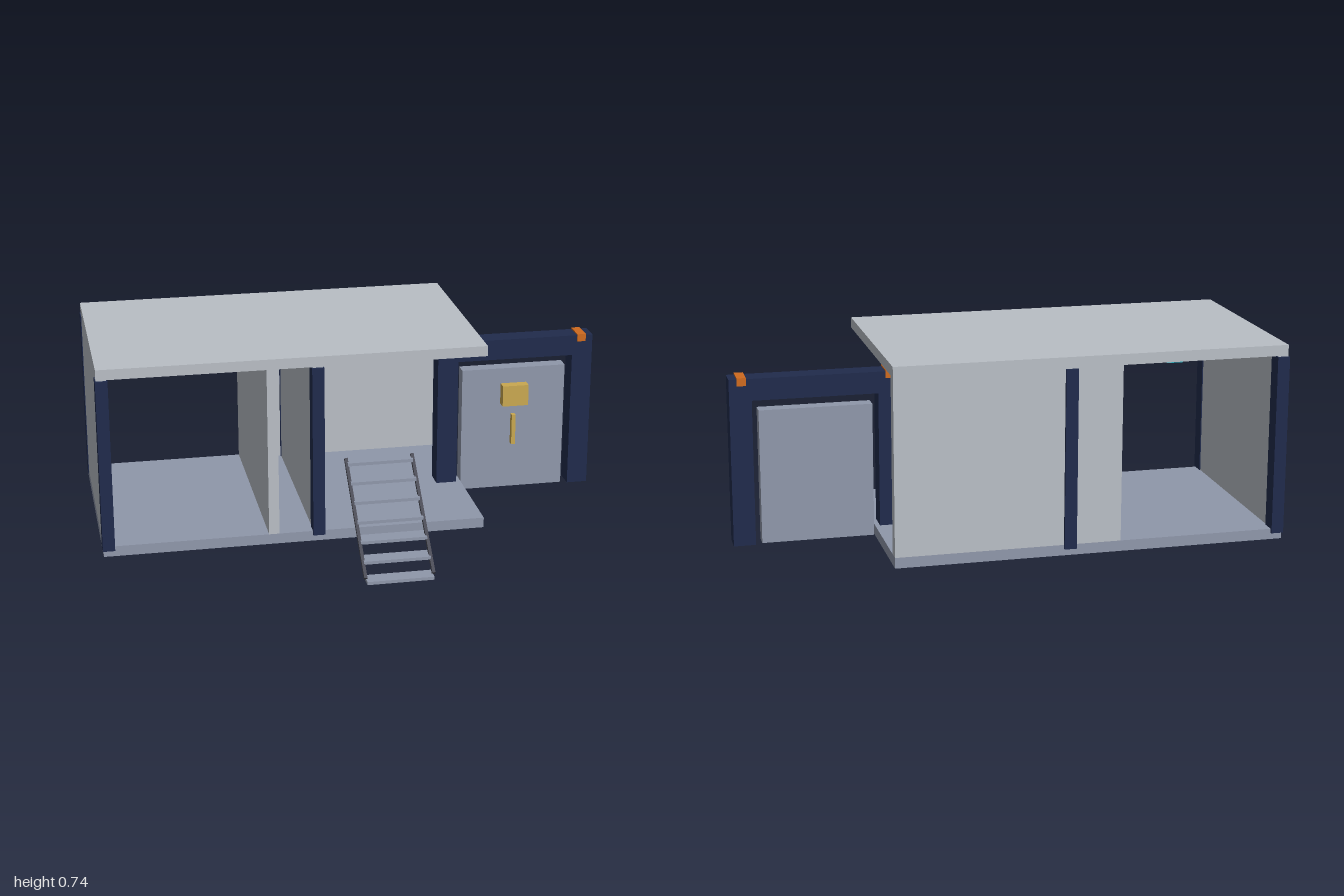
import * as THREE from 'three';

const material = (name, color) => {
  const m = new THREE.MeshStandardMaterial({ color });
  m.name = name;
  return m;
};

export function createModel() {
  const wall = material('pale grey', 0xb9bec5);
  const panel = material('blue grey', 0x8f97aa);
  const navy = material('navy', 0x202b4c);
  const steel = material('dark steel', 0x4a4b55);
  const orange = material('orange', 0xcf6a1f);
  const brass = material('brass yellow', 0xc9a850);
  const cyan = material('cyan', 0x2fb3c4);

  const model = new THREE.Group();
  model.name = 'cabin';

  // Box given by its extents on each axis
  const box = (name, mat, [x0, x1], [y0, y1], [z0, z1], parent = model) => {
    const mesh = new THREE.Mesh(new THREE.BoxGeometry(x1 - x0, y1 - y0, z1 - z0), mat);
    mesh.position.set((x0 + x1) / 2, (y0 + y1) / 2, (z0 + z1) / 2);
    mesh.name = name;
    parent.add(mesh);
    return mesh;
  };

  // Shell: floor, roof, end wall, rear wall and two partitions
  const depth = [-0.63, 0.21];
  const room = [0.04, 0.7];
  box('floor', panel, [-0.997, 0.47], [0, 0.04], depth);
  box('roof', wall, [-0.997, 0.47], [0.7, 0.74], depth);
  box('endWall', wall, [-0.997, -0.958], room, depth);
  box('rearWall', wall, [-0.37, 0.47], room, [-0.63, -0.587]);
  box('partition', wall, [-0.37, -0.33], room, [-0.587, 0.21]);
  box('partition', wall, [-0.198, -0.158], room, [-0.587, 0.21]);

  // Posts at the ends of the walls
  for (const x of [-1, -0.201]) {
    for (const z of [[-0.64, -0.577], [0.16, 0.22]]) {
      box('post', navy, [x, x + 0.046], [0.025, 0.697], z);
    }
  }
  box('innerPost', navy, [-0.355, -0.309], [0.041, 0.697], [-0.629, -0.577]);

  // Ceiling lamps
  for (const x of [-0.58, -0.33]) {
    box('ceilingLamp', cyan, [x - 0.03, x + 0.03], [0.685, 0.701], [-0.58, 0.16]);
  }

  // Door frame with orange clamps
  const gate = new THREE.Group();
  gate.name = 'doorFrame';
  model.add(gate);
  const frameDepth = [-0.25, -0.168];
  for (const x of [0.37, 0.918]) {
    box('framePost', navy, [x, x + 0.082], [0, 0.632], frameDepth, gate);
  }
  box('frameBeam', navy, [0.452, 0.918], [0.55, 0.632], frameDepth, gate);
  for (const x of [0.39, 0.937]) {
    box('clamp', orange, [x, x + 0.034], [0.607, 0.637], [-0.253, -0.163], gate);
  }

  // Door with lock box and handle
  box('door', panel, [0.472, 0.893], [0, 0.508], [-0.235, -0.18], gate);
  box('lockBox', brass, [0.63, 0.735], [0.36, 0.445], [-0.181, -0.14], gate);
  box('doorHandle', brass, [0.674, 0.69], [0.19, 0.315], [-0.181, -0.157], gate);

  // Open stairs
  const stairs = new THREE.Group();
  stairs.name = 'stairs';
  model.add(stairs);
  for (let i = 0; i < 7; i++) {
    const y = i * 0.0527, z = 0.609 - i * 0.0627;
    box('step', panel, [-0.075, 0.175], [y, y + 0.012], [z - 0.031, z + 0.031], stairs);
  }
  const rise = 0.32, run = 0.385;
  for (const x of [-0.077, 0.177]) {
    const rail = new THREE.Mesh(new THREE.BoxGeometry(0.012, 0.014, Math.hypot(rise, run)), steel);
    rail.position.set(x, 0.175, 0.423);
    rail.rotation.x = Math.atan2(rise, run);
    rail.name = 'stairRail';
    stairs.add(rail);
  }

  return model;
}
